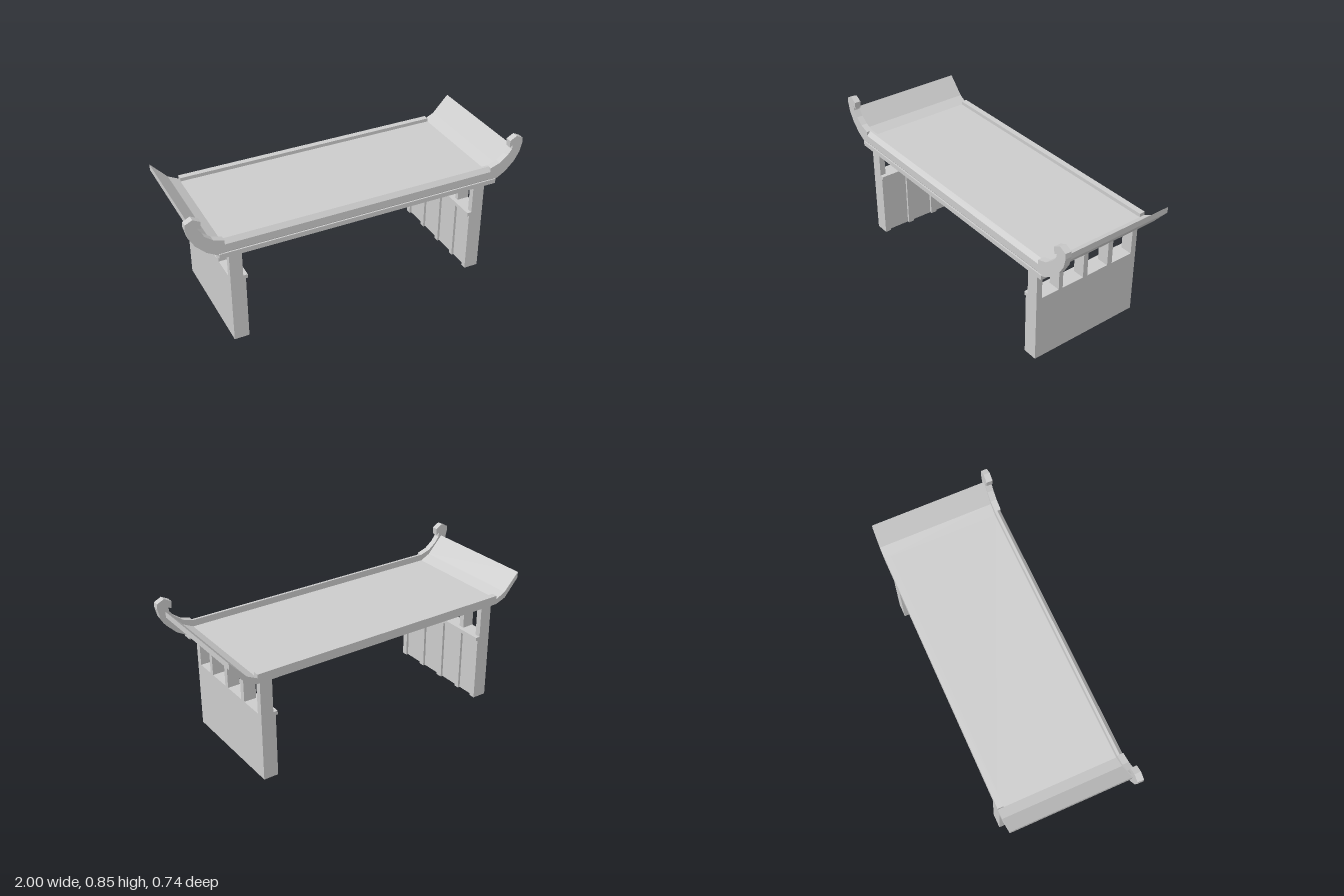
import * as THREE from 'three';

const material = new THREE.MeshStandardMaterial({ color: 0xcccccc, flatShading: true });

function addMesh(parent, name, geometry) {
  const mesh = new THREE.Mesh(geometry, material);
  mesh.name = name;
  parent.add(mesh);
  return mesh;
}

// Box given by its min and max on each axis
function addBox(parent, name, [x0, x1], [y0, y1], [z0, z1]) {
  const mesh = addMesh(parent, name, new THREE.BoxGeometry(x1 - x0, y1 - y0, z1 - z0));
  mesh.position.set((x0 + x1) / 2, (y0 + y1) / 2, (z0 + z1) / 2);
  return mesh;
}

function extrude(points, depth) {
  const shape = new THREE.Shape(points.map(([x, y]) => new THREE.Vector2(x, y)));
  return new THREE.ExtrudeGeometry(shape, { depth, bevelEnabled: false });
}

const mirrored = (points) => points.map(([x, y]) => [-x, y]);

// Roof slab with upturned ends
function buildRoof() {
  const roof = new THREE.Group();
  roof.name = 'roof';
  const under = [[0.8, 0.605], [0.865, 0.63], [0.955, 0.735]];
  const upper = [[0.955, 0.77], [0.86, 0.667], [0.8, 0.637]];
  const right = [...under, ...upper];
  const outline = [...right, ...mirrored(right).reverse()];
  addMesh(roof, 'roofSlab', extrude(outline, 0.7)).position.z = -0.37;
  addBox(roof, 'backRidge', [-0.8, 0.8], [0.63, 0.658], [-0.37, -0.335]);
  return roof;
}

// Front beam with a curled horn at each end
function buildFrontBeam() {
  const beam = new THREE.Group();
  beam.name = 'frontBeam';

  // Chamfered section, as [-z, y], run along x
  const section = [
    [-0.325, 0.59], [-0.325, 0.675], [-0.34, 0.675],
    [-0.362, 0.65], [-0.362, 0.605], [-0.354, 0.59],
  ];
  const bar = addMesh(beam, 'beamBar', extrude(section, 1.6));
  bar.rotation.y = Math.PI / 2;
  bar.position.x = -0.8;

  const horn = [
    [0.8, 0.59], [0.84, 0.595], [0.9, 0.63], [0.955, 0.685], [0.987, 0.74],
    [1, 0.795], [0.998, 0.825], [0.957, 0.845], [0.915, 0.822], [0.918, 0.78],
    [0.936, 0.79], [0.932, 0.765], [0.905, 0.73], [0.86, 0.695], [0.8, 0.675],
  ];
  addMesh(beam, 'leftHorn', extrude(horn, 0.037)).position.z = 0.325;
  addMesh(beam, 'rightHorn', extrude(mirrored(horn), 0.037)).position.z = 0.325;

  addBox(beam, 'lowerTrim', [-0.835, 0.835], [0.572, 0.6], [0.31, 0.368]);
  return beam;
}

// Side wall with four openings; side is +1 or -1, posts are [zMin, zMax]
function buildWall(side, name, sillTop, posts) {
  const wall = new THREE.Group();
  wall.name = name;
  const span = (a, b) => (side > 0 ? [a, b] : [-b, -a]);
  const depth = [-0.35, 0.345];
  const body = span(0.706, 0.778);

  addBox(wall, 'lowerPanel', body, [0, sillTop], depth);
  addBox(wall, 'topRail', body, [0.57, 0.605], depth);
  for (const z of posts) {
    addBox(wall, 'post', body, [sillTop, 0.57], z);
    addBox(wall, 'batten', span(0.692, 0.706), [0, sillTop - 0.02], z);
  }
  addBox(wall, 'sill', span(0.68, 0.706), [sillTop - 0.022, sillTop], depth);
  return wall;
}

export function createModel() {
  const model = new THREE.Group();
  model.name = 'gateRoof';
  model.add(buildRoof(), buildFrontBeam());

  const ends = [[0.31, 0.345], [-0.35, -0.315]];
  model.add(buildWall(1, 'leftWall', 0.395,
    [...ends, [0.17, 0.197], [0, 0.03], [-0.175, -0.142]]));
  model.add(buildWall(-1, 'rightWall', 0.41,
    [...ends, [0.135, 0.172], [-0.04, 0], [-0.205, -0.172]]));
  return model;
}
